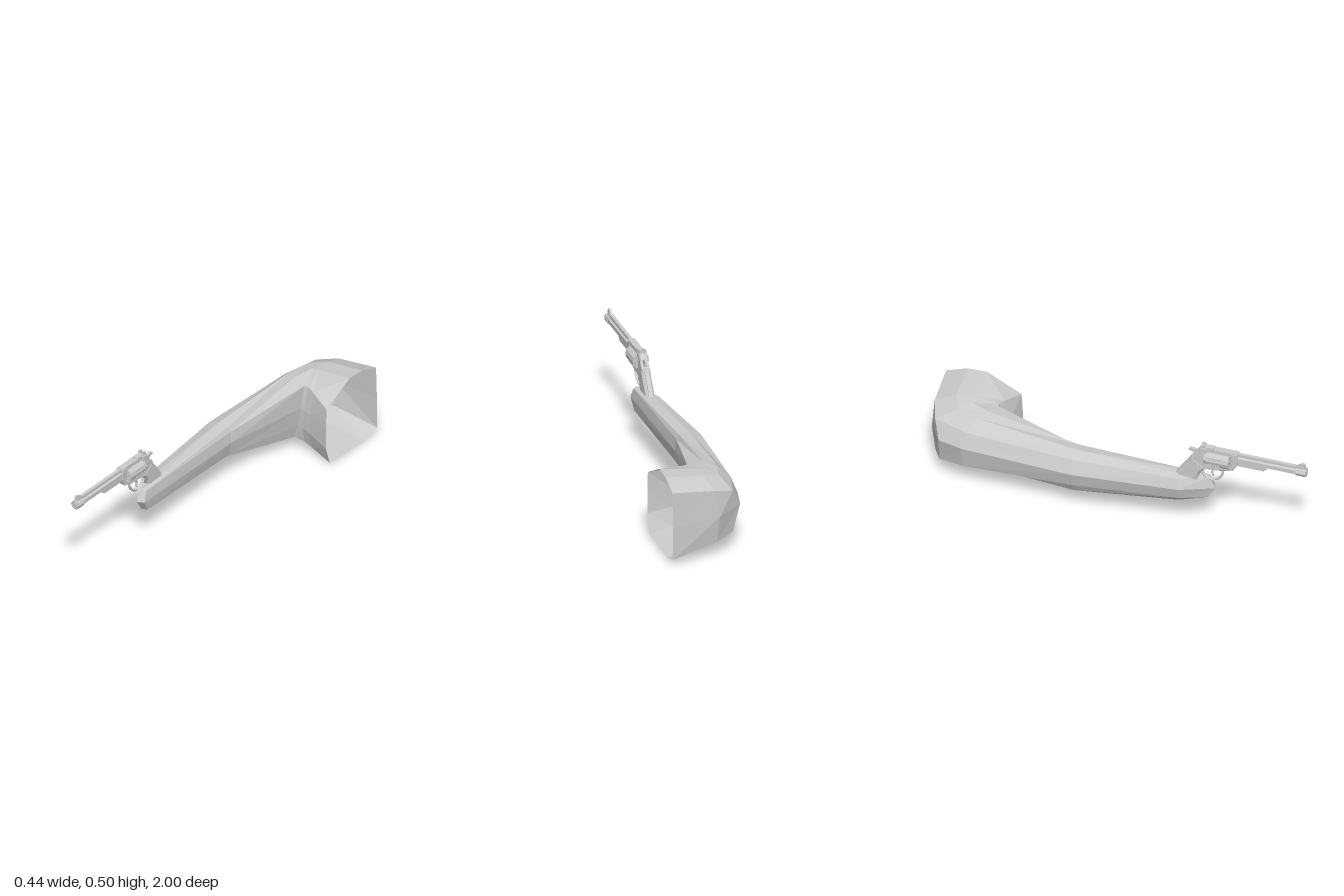
import * as THREE from 'three';

const grey = new THREE.MeshStandardMaterial({ color: 0xcccccc, flatShading: true });
const greyOpen = new THREE.MeshStandardMaterial({ color: 0xcccccc, flatShading: true, side: THREE.DoubleSide });
const GX = -0.1; // centre plane of the revolver

function add(parent, name, geometry, x = 0, y = 0, z = 0, material = grey) {
  const mesh = new THREE.Mesh(geometry, material);
  mesh.name = name;
  mesh.position.set(x, y, z);
  parent.add(mesh);
  return mesh;
}

// Skin a list of equal-length rings of [x, y, z] points
function loft(rings) {
  const n = rings[0].length, index = [];
  for (let i = 0; i < rings.length - 1; i++) {
    for (let j = 0; j < n; j++) {
      const a = i * n + j, b = i * n + (j + 1) % n;
      index.push(a, b, a + n, b, b + n, a + n);
    }
  }
  const g = new THREE.BufferGeometry();
  g.setAttribute('position', new THREE.Float32BufferAttribute(rings.flat(2), 3));
  g.setIndex(index);
  g.computeVertexNormals();
  return g;
}

// Side profile of [z, y] points, given a thickness across x
function slab(points, width, bevel = 0) {
  const shape = new THREE.Shape(points.map(p => new THREE.Vector2(p[0], p[1])));
  const depth = width - 2 * bevel;
  const g = new THREE.ExtrudeGeometry(shape, {
    depth, bevelEnabled: bevel > 0, bevelSize: bevel, bevelOffset: -bevel, bevelThickness: bevel, bevelSegments: 1,
  });
  return g.translate(0, 0, -depth / 2).rotateY(-Math.PI / 2);
}

const rod = (r, length, sides) => new THREE.CylinderGeometry(r, r, length, sides).rotateX(Math.PI / 2);

// Rings run top, inner side, underside, outer side
const upperTip = [-0.09, 0.3, 0.49], midTip = [-0.09, 0.24, 0.52], lowerTip = [-0.09, 0.178, 0.48];
const handRings = [
  [upperTip, upperTip, midTip, lowerTip, lowerTip, lowerTip, lowerTip, midTip, upperTip, upperTip],
  [[-0.075, 0.303, 0.45], [-0.06, 0.295, 0.48], [-0.052, 0.24, 0.505], [-0.06, 0.18, 0.47], [-0.08, 0.162, 0.4],
    [-0.13, 0.155, 0.34], [-0.148, 0.178, 0.34], [-0.165, 0.24, 0.35], [-0.148, 0.295, 0.34], [-0.115, 0.305, 0.34]],
];
const foreRing = [[-0.075, 0.325], [-0.062, 0.3], [-0.055, 0.24], [-0.07, 0.165], [-0.13, 0.118],
  [-0.175, 0.118], [-0.2, 0.165], [-0.22, 0.24], [-0.19, 0.31], [-0.13, 0.333]].map(p => [...p, -0.19]);
const elbowRings = [
  [[-0.04, 0.385, -0.68], [0.035, 0.373, -0.655], [0.03, 0.25, -0.635], [0.015, 0.15, -0.63], [-0.005, 0.073, -0.63],
    [-0.07, 0.075, -0.72], [-0.165, 0.12, -0.77], [-0.19, 0.24, -0.77], [-0.16, 0.32, -0.75], [-0.1, 0.375, -0.72]],
  [[-0.01, 0.398, -0.78], [0.06, 0.373, -0.66], [0.06, 0.25, -0.63], [0.05, 0.15, -0.625], [0.05, 0.063, -0.64],
    [-0.03, 0.065, -0.8], [-0.12, 0.1, -0.91], [-0.16, 0.24, -0.9], [-0.11, 0.33, -0.935], [-0.07, 0.382, -0.83]],
  [[0.03, 0.404, -0.78], [0.1, 0.365, -0.645], [0.1, 0.245, -0.62], [0.1, 0.14, -0.617], [0.1, 0.048, -0.637],
    [0.05, 0.05, -0.86], [-0.02, 0.08, -0.965], [-0.03, 0.22, -0.98], [0, 0.36, -0.975], [0.02, 0.402, -0.87]],
];
const shoulderRing = [[0.427, -0.78], [0.335, -0.6], [0.234, -0.593], [0.11, -0.593], [0.012, -0.625],
  [0.001, -0.9], [0.03, -1], [0.2, -1], [0.385, -0.993], [0.424, -0.88]].map(p => [0.22, ...p]);

function revolver() {
  const gun = new THREE.Group();
  gun.name = 'revolver';
  gun.position.x = GX;

  // Barrel with bore, rib and sights
  add(gun, 'barrel', rod(0.021, 0.37, 6), 0, 0.456, 0.815);
  add(gun, 'muzzle', rod(0.024, 0.05, 8), 0, 0.456, 0.973);
  add(gun, 'muzzleRim', new THREE.TorusGeometry(0.015, 0.004, 4, 8), 0, 0.456, 0.998);
  add(gun, 'topRib', new THREE.BoxGeometry(0.018, 0.015, 0.36), 0, 0.479, 0.81);
  add(gun, 'barrelUnderlug', slab([[0.62, 0.42], [0.78, 0.42], [0.8, 0.44], [0.62, 0.445]], 0.028));
  add(gun, 'ejectorRod', rod(0.007, 0.13, 6), 0, 0.431, 0.71);
  add(gun, 'frontSight', slab([[0.94, 0.48], [0.995, 0.48], [0.99, 0.505], [0.975, 0.505]], 0.012));

  // Frame surrounding the cylinder
  add(gun, 'topStrap', slab([[0.43, 0.462], [0.46, 0.488], [0.64, 0.49], [0.64, 0.472], [0.43, 0.455]], 0.034));
  add(gun, 'frameFront', slab([[0.605, 0.39], [0.63, 0.4], [0.645, 0.43], [0.645, 0.488], [0.605, 0.488]], 0.038, 0.004));
  add(gun, 'frameBottom', slab([[0.43, 0.362], [0.55, 0.37], [0.62, 0.385], [0.62, 0.402], [0.43, 0.405]], 0.038, 0.004));
  add(gun, 'frameRear', slab([[0.42, 0.36], [0.485, 0.365], [0.485, 0.488], [0.455, 0.488], [0.43, 0.45], [0.405, 0.42]], 0.042, 0.004));
  add(gun, 'recoilShield', rod(0.036, 0.015, 8), 0, 0.431, 0.478);
  for (const s of [-1, 1]) {
    add(gun, 'rearSightBlade', new THREE.BoxGeometry(0.014, 0.02, 0.018), s * 0.011, 0.494, 0.462);
  }
  add(gun, 'rearSightBase', new THREE.BoxGeometry(0.03, 0.01, 0.06), 0, 0.489, 0.49);

  // Cylinder with chambers and flutes
  add(gun, 'cylinder', rod(0.043, 0.115, 12), 0, 0.431, 0.545);
  for (let i = 0; i < 6; i++) {
    const a = (i + 0.5) * Math.PI / 3, c = Math.cos(a), s = Math.sin(a);
    add(gun, 'chamberRim', new THREE.TorusGeometry(0.009, 0.002, 4, 8), c * 0.029, 0.431 + s * 0.029, 0.603);
    add(gun, 'cylinderRidge', rod(0.006, 0.07, 6), c * 0.04, 0.431 + s * 0.04, 0.525);
  }

  // Hammer, trigger and guard
  add(gun, 'hammer', slab([[0.44, 0.42], [0.45, 0.46], [0.425, 0.464], [0.395, 0.468], [0.385, 0.455], [0.412, 0.447], [0.415, 0.42]], 0.016));
  add(gun, 'trigger', slab([[0.52, 0.375], [0.508, 0.375], [0.502, 0.345], [0.51, 0.32], [0.514, 0.32], [0.511, 0.345]], 0.01));
  const guard = new THREE.CatmullRomCurve3([[0.375, 0.56], [0.345, 0.562], [0.315, 0.54], [0.302, 0.51],
    [0.31, 0.477], [0.335, 0.457], [0.365, 0.45]].map(([y, z]) => new THREE.Vector3(0, y, z)));
  add(gun, 'triggerGuard', new THREE.TubeGeometry(guard, 16, 0.006, 6, false).scale(1.6, 1, 1));

  // Grip sweeping back into the hand
  add(gun, 'grip', slab([[0.485, 0.37], [0.405, 0.425], [0.39, 0.395], [0.355, 0.345], [0.325, 0.305],
    [0.345, 0.285], [0.43, 0.285], [0.445, 0.33], [0.465, 0.355]], 0.046, 0.01));
  add(gun, 'gripStrap', slab([[0.42, 0.425], [0.4, 0.427], [0.383, 0.395], [0.348, 0.348], [0.32, 0.305], [0.4, 0.3]], 0.02));
  return gun;
}

export function createModel() {
  const model = new THREE.Group();
  model.name = 'armWithRevolver';
  add(model, 'arm', loft([...handRings, foreRing, ...elbowRings, shoulderRing]), 0, 0, 0, greyOpen);
  model.add(revolver());
  return model;
}
